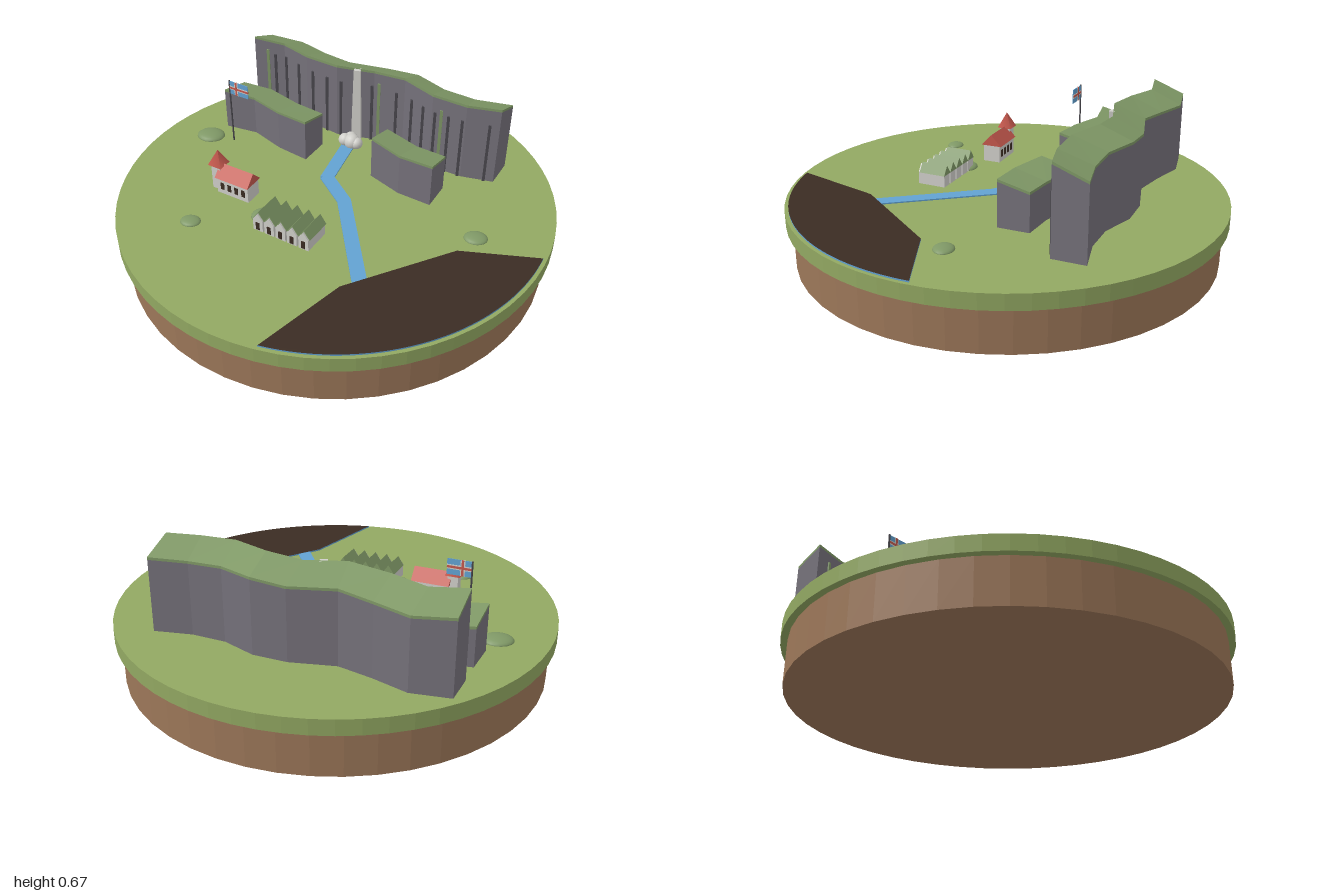
import * as THREE from 'three';

const mat = (name, color, opts = {}) => {
  const m = new THREE.MeshStandardMaterial({ color, ...opts });
  m.name = name;
  return m;
};
const GROUND = 0.27;

export function createModel() {
  const flat = { flatShading: true };
  const M = {
    grass: mat('grass', 0x92a862, flat),
    earth: mat('earth', 0x9c7759, flat),
    sand: mat('blackSand', 0x3b2c23),
    water: mat('water', 0x62a2d2),
    rock: mat('rock', 0x75717a, flat),
    groove: mat('darkRock', 0x4a484e),
    turf: mat('turf', 0x7f9866),
    white: mat('white', 0xd0cfca),
    red: mat('red', 0xc4584d),
  };
  const model = new THREE.Group();
  const add = (name, geo, material, x = 0, y = 0, z = 0, parent = model) => {
    const mesh = new THREE.Mesh(geo, material);
    mesh.name = name;
    mesh.position.set(x, y, z);
    parent.add(mesh);
    return mesh;
  };
  const box = (name, material, w, h, d, x, y, z, parent) =>
    add(name, new THREE.BoxGeometry(w, h, d), material, x, y, z, parent);
  const group = (name, x, z, turn) => {
    const g = new THREE.Group();
    g.name = name;
    g.position.set(x, GROUND, z);
    g.rotation.y = turn;
    model.add(g);
    return g;
  };

  // Round base
  add('earthBase', new THREE.CylinderGeometry(0.97, 0.97, 0.2, 48), M.earth, 0, 0.1, 0);
  add('grassDisc', new THREE.CylinderGeometry(1, 1, 0.07, 64), M.grass, 0, 0.235, 0);

  // Dark shore with a water edge
  const shore = new THREE.Shape();
  shore.moveTo(0.95, -0.255);
  shore.lineTo(0.59, -0.285);
  shore.lineTo(0.15, -0.605);
  shore.lineTo(-0.085, -0.98);
  shore.absarc(0, 0, 0.983, -Math.PI / 2 - 0.087, -0.262, false);
  const shoreGeo = new THREE.ExtrudeGeometry(shore, { depth: 0.007, bevelEnabled: false, curveSegments: 32 });
  shoreGeo.rotateX(-Math.PI / 2);
  add('shore', shoreGeo, [M.sand, M.water], 0, GROUND, 0);

  // River made of straight reaches
  const course = [[-0.02, -0.4], [-0.065, -0.1], [0.05, 0.055], [0.225, 0.565]];
  for (let i = 0; i < 3; i++) {
    const [x0, z0] = course[i], [x1, z1] = course[i + 1];
    const reach = box('river', M.water, 0.064, 0.006, Math.hypot(x1 - x0, z1 - z0) + 0.015,
      (x0 + x1) / 2, GROUND + 0.003, (z0 + z1) / 2);
    reach.rotation.y = Math.atan2(x1 - x0, z1 - z0);
  }

  // Wall-like slab between a front line and a back line; low and high give [front, back] heights
  const slab = (front, back, low, high) => {
    const pos = [];
    const quad = (a, b, c, d) => pos.push(...a, ...b, ...c, ...a, ...c, ...d);
    const rows = front.map((f, i) => {
      const b = back[i], lo = low(i), hi = high(i);
      return [[f[0], lo[0], f[1]], [f[0], hi[0], f[1]], [b[0], hi[1], b[1]], [b[0], lo[1], b[1]]];
    });
    for (let i = 0; i < rows.length - 1; i++) {
      for (let k = 0; k < 4; k++) {
        const n = (k + 1) % 4;
        quad(rows[i][k], rows[i + 1][k], rows[i + 1][n], rows[i][n]);
      }
    }
    const s = rows[0], e = rows[rows.length - 1];
    quad(s[3], s[0], s[1], s[2]);
    quad(e[0], e[3], e[2], e[1]);
    const geo = new THREE.BufferGeometry();
    geo.setAttribute('position', new THREE.Float32BufferAttribute(pos, 3));
    geo.computeVertexNormals();
    return geo;
  };
  const cliff = (name, front, back, heights, drop) => {
    const top = (i) => [heights[i], heights[i] - drop];
    const under = (i) => top(i).map((h) => h - 0.012);
    add(name + 'Rock', slab(front, back, () => [GROUND, GROUND], under), M.rock);
    add(name + 'Turf', slab(front, back, under, top), M.turf);
  };

  // Tall ridge and two lower cliffs
  const ridgeFront = [[-0.57, -0.67], [-0.41, -0.65], [-0.27, -0.55], [-0.1, -0.47], [0.085, -0.463],
    [0.24, -0.41], [0.385, -0.3], [0.545, -0.25], [0.7, -0.24]];
  const ridgeBack = [[-0.52, -0.81], [-0.35, -0.785], [-0.21, -0.69], [-0.07, -0.61], [0.135, -0.597],
    [0.285, -0.55], [0.42, -0.45], [0.57, -0.4], [0.745, -0.383]];
  cliff('ridge', ridgeFront, ridgeBack, [0.66, 0.65, 0.655, 0.665, 0.66, 0.672, 0.67, 0.665, 0.668], 0.057);
  cliff('leftCliff', [[-0.66, -0.42], [-0.5, -0.393], [-0.35, -0.29], [-0.2, -0.222]],
    [[-0.605, -0.565], [-0.455, -0.543], [-0.295, -0.436], [-0.15, -0.366]], [0.485, 0.475, 0.48, 0.485], 0.035);
  cliff('rightCliff', [[0.132, -0.163], [0.278, -0.06], [0.433, -0.003]],
    [[0.182, -0.303], [0.337, -0.2], [0.476, -0.142]], [0.485, 0.48, 0.485], 0.035);

  // Vertical grooves and mossy streaks along the ridge face
  const faceZ = (x) => {
    const i = Math.max(1, ridgeFront.findIndex((p) => p[0] >= x));
    const [x0, z0] = ridgeFront[i - 1], [x1, z1] = ridgeFront[i];
    return z0 + ((x - x0) / (x1 - x0)) * (z1 - z0);
  };
  [-0.46, -0.4, -0.32, -0.235, -0.155, -0.08, 0.075, 0.2, 0.28, 0.34, 0.4, 0.465, 0.53, 0.655].forEach((x) =>
    box('rockGroove', M.groove, 0.013, 0.31, 0.014, x, GROUND + 0.155, faceZ(x)));
  [-0.5, 0.11, 0.43].forEach((x) => box('mossStreak', M.turf, 0.014, 0.33, 0.012, x, GROUND + 0.165, faceZ(x)));

  // Waterfall, narrower at the top, with spray at its foot
  const fall = new THREE.BoxGeometry(0.05, 0.39, 0.025);
  const fp = fall.attributes.position;
  for (let i = 0; i < fp.count; i++) if (fp.getY(i) > 0) fp.setX(i, fp.getX(i) * 0.65);
  add('waterfall', fall, M.white, 0.002, GROUND + 0.195, -0.46);
  [[-0.043, -0.395, 0.032], [-0.005, -0.385, 0.04], [0.02, -0.375, 0.03], [-0.015, -0.41, 0.034]].forEach(([x, z, r]) =>
    add('spray', new THREE.SphereGeometry(r, 14, 10), M.white, x, GROUND + 0.025, z));

  // Gabled prism with its ridge along z, base at y = 0
  const gable = (w, h, d) => {
    const s = new THREE.Shape([new THREE.Vector2(-w / 2, 0), new THREE.Vector2(w / 2, 0), new THREE.Vector2(0, h)]);
    return new THREE.ExtrudeGeometry(s, { depth: d, bevelEnabled: false }).translate(0, 0, -d / 2);
  };

  // Church
  const church = group('church', -0.44, 0.095, -0.31);
  box('churchWalls', M.white, 0.17, 0.085, 0.085, 0, 0.0425, 0, church);
  add('churchRoof', gable(0.104, 0.055, 0.18).rotateY(Math.PI / 2), M.red, 0, 0.083, 0, church);
  for (let i = 0; i < 4; i++) {
    for (const side of [-1, 1]) {
      box('churchWindow', M.sand, 0.019, 0.036, 0.004, -0.055 + i * 0.038, 0.042, side * 0.043, church);
    }
  }
  box('churchTower', M.white, 0.05, 0.13, 0.05, -0.1, 0.065, 0, church);
  add('towerRoof', new THREE.ConeGeometry(0.05, 0.075, 4).rotateY(Math.PI / 4), M.red, -0.1, 0.166, 0, church);

  // Row of turf-roofed houses
  const row = group('turfHouses', -0.14, 0.31, -0.33);
  for (let i = 0; i < 5; i++) {
    const x = (i - 2) * 0.059;
    box('houseWalls', M.white, 0.05, 0.058, 0.135, x, 0.029, 0, row);
    add('houseGable', gable(0.05, 0.034, 0.135), M.white, x, 0.058, 0, row);
    add('houseRoof', gable(0.06, 0.043, 0.13), M.turf, x, 0.056, -0.005, row);
    box('houseDoor', M.sand, 0.018, 0.038, 0.004, x, 0.026, 0.069, row);
  }

  // Flag on a pole
  const flag = group('flag', -0.59, -0.305, -0.33);
  add('flagPole', new THREE.CylinderGeometry(0.004, 0.004, 0.345, 8), M.groove, 0, 0.1725, 0, flag);
  box('flagCloth', M.water, 0.105, 0.07, 0.003, 0.055, 0.308, 0, flag);
  box('whiteBar', M.white, 0.105, 0.02, 0.005, 0.055, 0.308, 0, flag);
  box('whiteUpright', M.white, 0.02, 0.07, 0.005, 0.04, 0.308, 0, flag);
  box('redBar', M.red, 0.105, 0.01, 0.007, 0.055, 0.308, 0, flag);
  box('redUpright', M.red, 0.01, 0.07, 0.007, 0.04, 0.308, 0, flag);

  // Low bushes
  [[-0.715, -0.32, 0.07], [-0.27, 0.235, 0.065], [-0.585, 0.34, 0.047], [0.66, 0.18, 0.053]].forEach(([x, z, r]) => {
    const bush = add('bush', new THREE.SphereGeometry(r, 18, 12), M.turf, x, GROUND, z);
    bush.scale.set(1, 0.33, 0.86);
  });

  return model;
}
